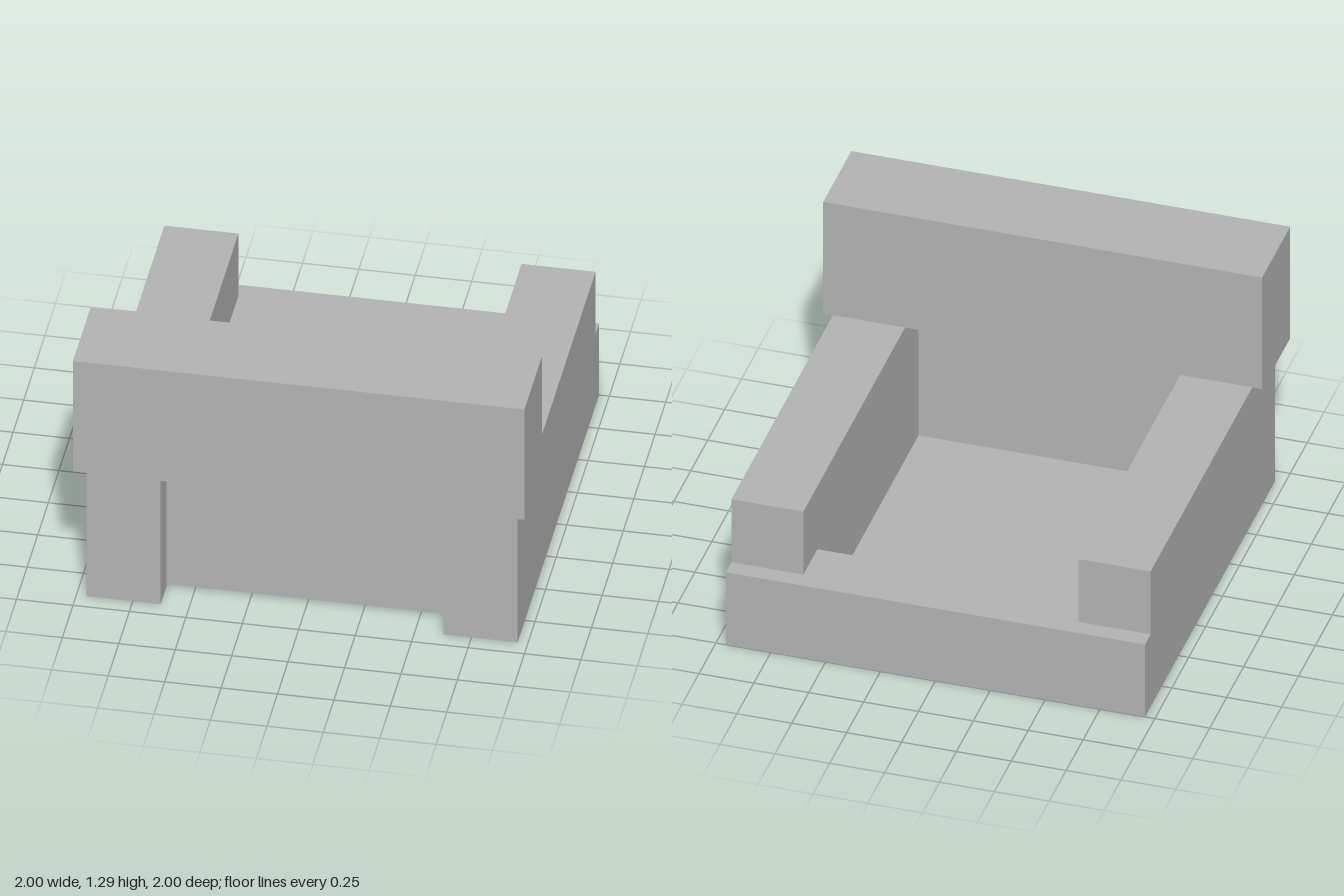
import * as THREE from 'three';

export function createModel() {
  const group = new THREE.Group();
  const grey = new THREE.MeshStandardMaterial({ color: 0xb3b3b3 });
  grey.name = 'plain grey';
  grey.side = THREE.DoubleSide;

  const add = (name, geometry) => {
    const mesh = new THREE.Mesh(geometry, grey);
    mesh.name = name;
    group.add(mesh);
    return mesh;
  };
  // Box given by its lower and upper limits on each axis
  const block = (name, [x0, x1], [y0, y1], [z0, z1]) =>
    add(name, new THREE.BoxGeometry(x1 - x0, y1 - y0, z1 - z0))
      .position.set((x0 + x1) / 2, (y0 + y1) / 2, (z0 + z1) / 2);

  const inner = 0.627, outer = 0.955;   // arm faces in x
  const armTop = 0.71, railTop = 0.38;
  const railFront = -0.71, panelZ = 0.785, floorY = 0.015;

  // Arms: stepped side profile (z, y) extruded across their width
  const profile = new THREE.Shape([
    [0.92, 0], [0.92, armTop], [-0.917, armTop],
    [-0.917, railTop], [-1, railTop], [-1, 0],
  ].map(([z, y]) => new THREE.Vector2(-z, y)));
  for (const [name, x] of [['leftArm', inner], ['rightArm', -outer]]) {
    const geometry = new THREE.ExtrudeGeometry(profile, { depth: outer - inner, bevelEnabled: false });
    geometry.rotateY(Math.PI / 2);
    add(name, geometry).position.x = x;
  }

  // Low rail joining the arms, and the tall beam resting across them
  block('lowRail', [-inner, inner], [0, railTop], [-1, railFront]);
  block('topBeam', [-1, 1], [armTop, 1.295], [0.585, 1]);

  // Thin upright panel and floor between the arms
  add('uprightPanel', new THREE.PlaneGeometry(2 * inner, armTop - floorY))
    .position.set(0, (armTop + floorY) / 2, panelZ);
  const floor = new THREE.PlaneGeometry(2 * inner, panelZ - railFront).rotateX(-Math.PI / 2);
  add('floorPanel', floor).position.set(0, floorY, (panelZ + railFront) / 2);

  return group;
}
